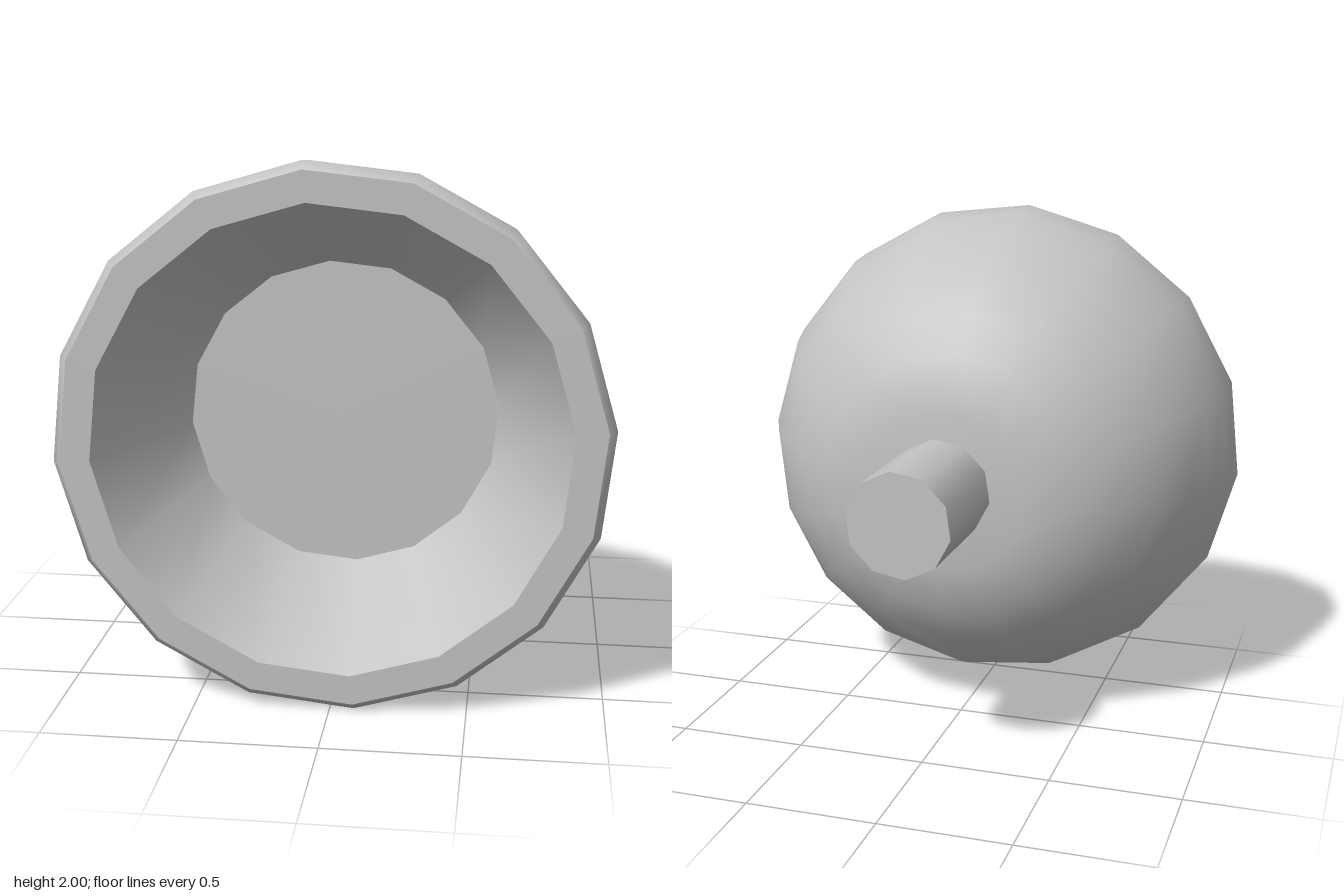
import * as THREE from 'three';

const SIDES = 16;
const TWIST = THREE.MathUtils.degToRad(5);

export function createModel() {
  const group = new THREE.Group();
  const grey = new THREE.MeshStandardMaterial({ color: 0xc4c4c4 });
  grey.name = 'plainGrey';

  // Revolve [radius, z] pairs about the z axis; the surface faces outward when z rises
  const revolve = (name, profile) => {
    const points = profile.map(([r, z]) => new THREE.Vector2(r, z));
    const geometry = new THREE.LatheGeometry(points, SIDES);
    geometry.rotateX(Math.PI / 2).rotateZ(TWIST);
    const mesh = new THREE.Mesh(geometry, grey);
    mesh.name = name;
    mesh.position.y = 1;
    group.add(mesh);
    return mesh;
  };

  // Rounded outer shell with a narrow bevel at the mouth
  const shell = revolve('outerShell', [
    [0, -0.226], [0.32, -0.224], [0.515, -0.157], [0.665, -0.055], [0.785, 0.07],
    [0.87, 0.2], [0.94, 0.35], [0.987, 0.52], [1.004, 0.68], [0.975, 0.71],
  ]);
  // The small flat at the back leans slightly
  const p = shell.geometry.attributes.position;
  for (let i = 0; i < p.count; i++) {
    if (p.getZ(i) < -0.2) p.setZ(i, p.getZ(i) + 0.025 * (p.getX(i) - p.getY(i)));
  }

  // Flat rim, tapering inner wall and flat floor, kept apart for sharp edges
  revolve('rim', [[0.975, 0.71], [0.863, 0.71]]);
  revolve('innerWall', [[0.863, 0.71], [0.588, 0.24]]);
  revolve('floor', [[0.588, 0.24], [0, 0.24]]);

  // Ten-sided stem behind the shell
  const stemGeometry = new THREE.CylinderGeometry(0.2, 0.2, 0.55, 10);
  stemGeometry.rotateX(Math.PI / 2).rotateZ(THREE.MathUtils.degToRad(-8));
  const stem = new THREE.Mesh(stemGeometry, grey);
  stem.name = 'stem';
  stem.position.set(0.012, 1.007, -0.435);
  group.add(stem);

  return group;
}
